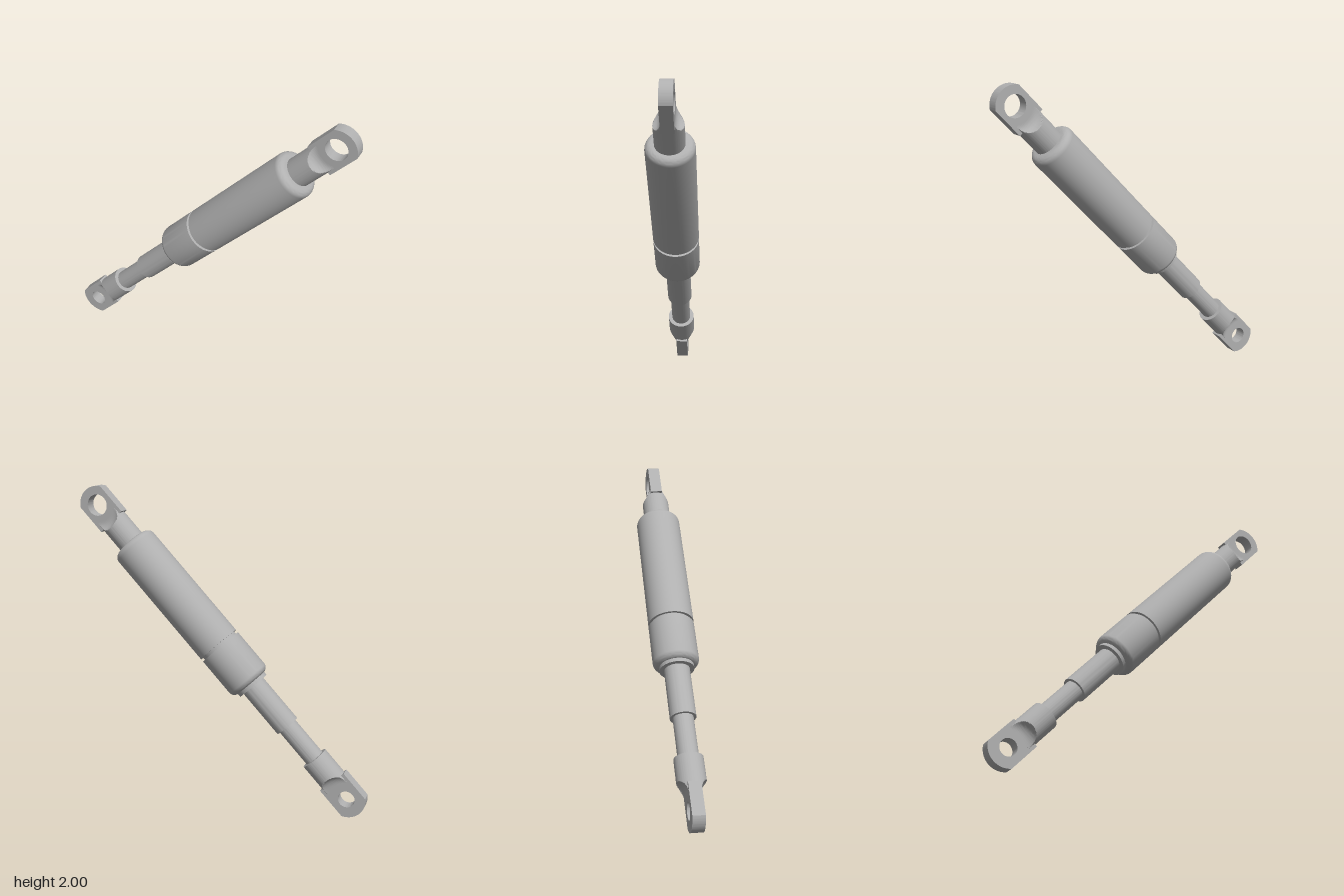
import * as THREE from 'three';
import { toCreasedNormals } from 'three/addons/utils/BufferGeometryUtils.js';

const steel = new THREE.MeshStandardMaterial({ color: 0xb0b0b0 });
steel.name = 'grey steel';

const EYE = 1.208;          // distance of each eye from the middle, along the axis
const TAB = 0.038;          // half thickness of the eye tabs

function addMesh(parent, name, geometry) {
  const mesh = new THREE.Mesh(toCreasedNormals(geometry, 0.6), steel);
  mesh.name = name;
  parent.add(mesh);
  return mesh;
}

// Closed turned part; profile is [radius, y] from bottom to top
function turned(profile, segments = 64) {
  const points = profile.map(([r, y]) => new THREE.Vector2(r, y));
  points.unshift(new THREE.Vector2(0, points[0].y));
  points.push(new THREE.Vector2(0, points[points.length - 1].y));
  return new THREE.LatheGeometry(points, segments);
}

// Quarter-round edge from the end face (dir -1: bottom, 1: top), listed bottom to top
function roundedEnd(radius, end, fillet, dir) {
  const points = [];
  for (let i = 0; i <= 8; i++) {
    const a = (i / 8) * Math.PI / 2;
    points.push([radius - fillet + fillet * Math.sin(a), end - dir * fillet * (1 - Math.cos(a))]);
  }
  return dir > 0 ? points.reverse() : points;
}

// Flat tab with an arched end and a round hole, pointing up
function eyeTab(hole) {
  const half = 0.1, arch = 0.12, a = Math.acos(half / arch);
  const shape = new THREE.Shape();
  shape.moveTo(-half, 1.07 - EYE);
  shape.lineTo(half, 1.07 - EYE);
  shape.absarc(0, 0, arch, a, Math.PI - a, false);
  shape.closePath();
  const opening = new THREE.Path();
  opening.absarc(0, 0, hole, 0, Math.PI * 2, true);
  shape.holes.push(opening);
  return new THREE.ExtrudeGeometry(shape, { depth: TAB * 2, bevelEnabled: false, curveSegments: 32 })
    .translate(0, EYE, -TAB);
}

// Round shank milled down to the tab thickness by a filleted cut around the eye
function shank(start) {
  const radius = 0.088, profile = [[radius, start]];
  for (let i = 0; i <= 24; i++) profile.push([radius, 1.0 + i * 0.005]);
  const geometry = turned(profile, 96);
  const p = geometry.attributes.position;
  for (let i = 0; i < p.count; i++) {
    const d = Math.hypot(p.getX(i), EYE - p.getY(i));
    const s = THREE.MathUtils.clamp((d - 0.11) / 0.06, 0, 1);
    const limit = TAB + 0.05 * (1 - Math.sqrt(1 - s * s));
    p.setZ(i, THREE.MathUtils.clamp(p.getZ(i), -limit, limit));
  }
  return geometry;
}

function endFitting(name, start, hole) {
  const fitting = new THREE.Group();
  fitting.name = name;
  addMesh(fitting, 'shank', shank(start));
  addMesh(fitting, 'eyeTab', eyeTab(hole));
  return fitting;
}

export function createModel() {
  const model = new THREE.Group();
  model.name = 'damper';
  const axis = new THREE.Group();
  axis.name = 'damperAxis';
  axis.position.y = 1.0025;
  axis.rotation.z = -Math.atan2(0.83, 0.8775);
  model.add(axis);

  // Main body in two sleeves with a groove between
  addMesh(axis, 'upperSleeve', turned([[0.144, 0.044], ...roundedEnd(0.144, 0.89, 0.042, 1)]));
  addMesh(axis, 'grooveCore', turned([[0.128, 0.0], [0.128, 0.06]]));
  addMesh(axis, 'lowerSleeve', turned([...roundedEnd(0.144, -0.272, 0.042, -1), [0.144, 0.024]]));

  // Stepped rod
  addMesh(axis, 'collar', turned([[0.108, -0.295], [0.108, -0.25]]));
  addMesh(axis, 'rodSleeve', turned([[0.08, -0.625], [0.08, -0.28]]));
  addMesh(axis, 'rod', turned([[0.063, -0.9], [0.063, -0.6]]));

  // Eyes at both ends
  axis.add(endFitting('upperEye', 0.87, 0.067));
  const lower = endFitting('lowerEye', 0.888, 0.053);
  lower.rotation.z = Math.PI;
  axis.add(lower);
  return model;
}
